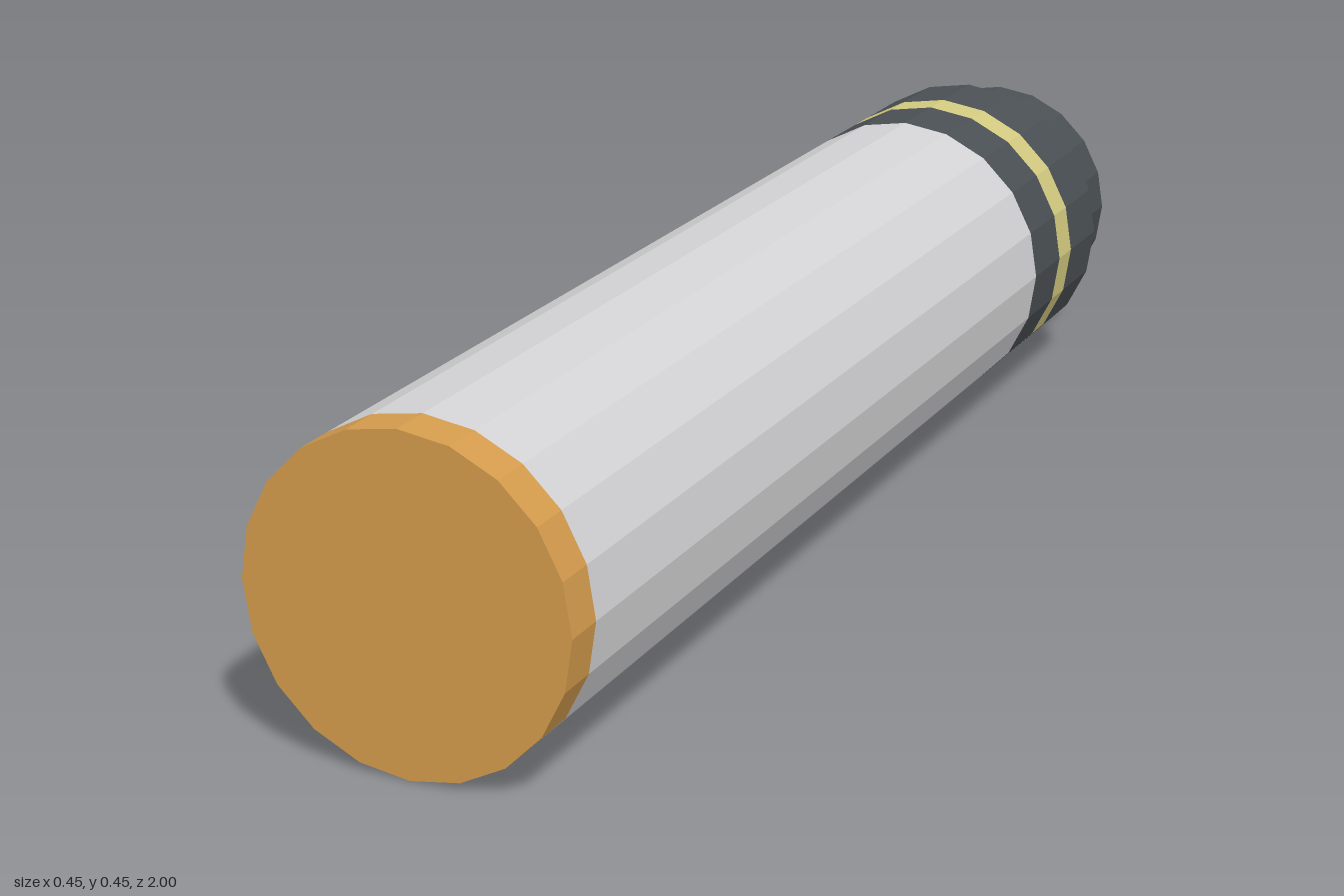
import * as THREE from 'three';

const SIDES = 20;
const R = 0.225;      // barrel radius
const R_CAP = 0.188;  // rear plug radius

function material(name, color) {
  const m = new THREE.MeshStandardMaterial({ color, flatShading: true });
  m.name = name;
  return m;
}

export function createModel() {
  const orange = material('orange', 0xd59c4d);
  const silver = material('silver', 0xd4d4d6);
  const charcoal = material('charcoal', 0x4a5054);
  const yellow = material('yellow', 0xd3ca80);

  const model = new THREE.Group();
  model.name = 'cylinder';

  // Turned section along z; profile is [radius, z] from back to front
  function section(name, mat, profile) {
    const points = profile.map(([r, z]) => new THREE.Vector2(r, z));
    const geometry = new THREE.LatheGeometry(points, SIDES);
    geometry.rotateX(Math.PI / 2);
    const mesh = new THREE.Mesh(geometry, mat);
    mesh.name = name;
    mesh.position.y = R;
    model.add(mesh);
  }

  // Rear plug with its closed end
  section('rearPlug', charcoal, [[0, -1], [R_CAP, -1], [R_CAP, -0.85]]);
  // Dark collar split by a yellow stripe, with a step down to the plug
  section('rearCollar', charcoal, [[R_CAP, -0.85], [R, -0.85], [R, -0.735]]);
  section('collarStripe', yellow, [[R, -0.735], [R, -0.68]]);
  section('frontCollar', charcoal, [[R, -0.68], [R, -0.57]]);
  // Long barrel
  section('barrel', silver, [[R, -0.57], [R, 0.94]]);
  // Front rim and its closed face
  section('frontCap', orange, [[R, 0.94], [R, 1], [0, 1]]);

  return model;
}
